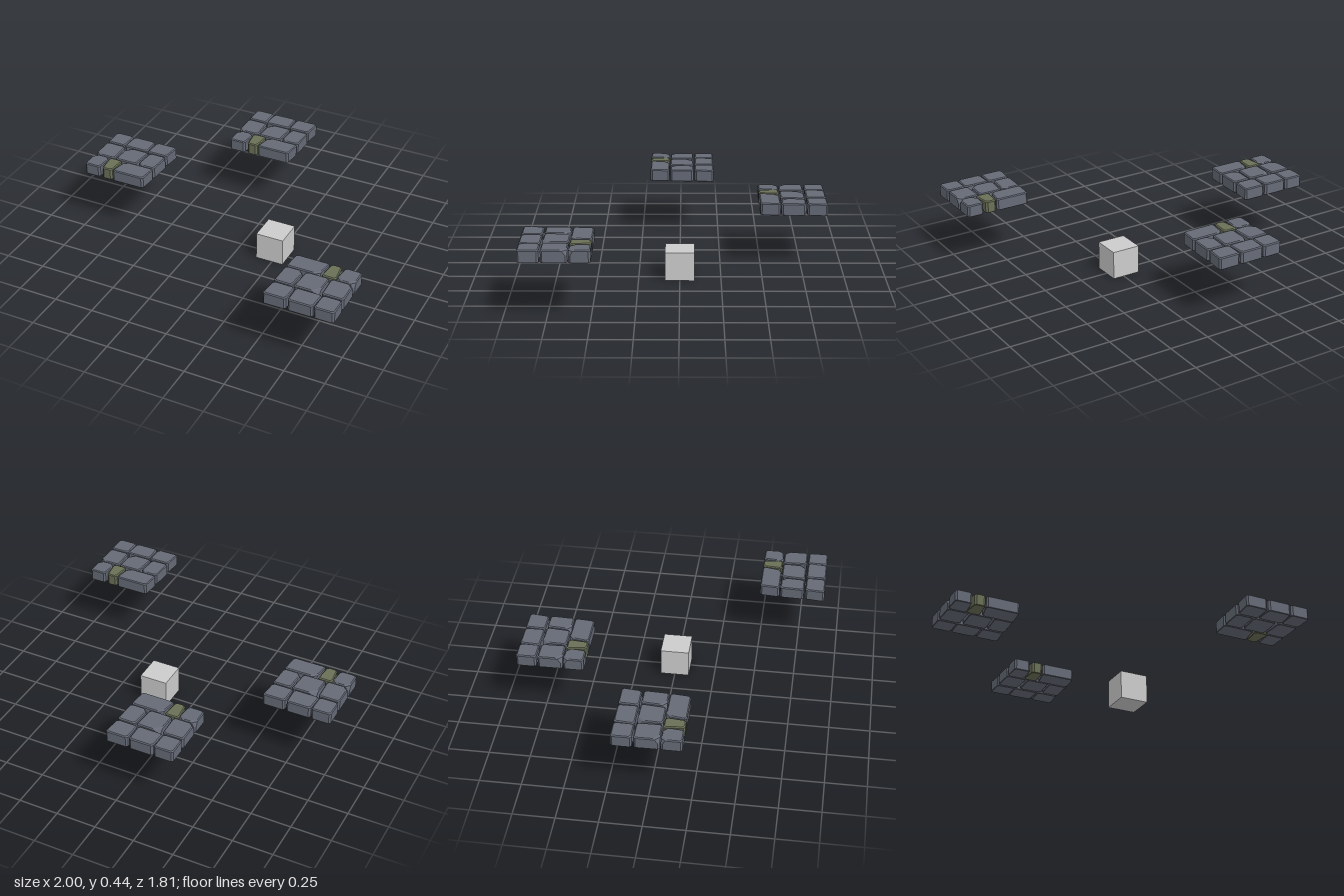
import * as THREE from 'three';
import { ConvexGeometry } from 'three/addons/geometries/ConvexGeometry.js';

const H = 0.076;      // slab thickness
const BEVEL = 0.006;  // edge bevel
const CORNER = 0.011; // plan corner cut

const mat = (name, color) => Object.assign(new THREE.MeshStandardMaterial({ color }), { name });

// Stone outlines per row: z back, z front, then [back x0, back x1, front x0, front x1, chips]
// chips: size of the broken top corner, keyed by 0 back left, 1 back right, 2 front right, 3 front left
const ROWS = [
  { z: [-0.206, -0.083], stones: [
    [-0.217, -0.094, -0.217, -0.096, {}],
    [-0.088, 0.064, -0.096, 0.066, {}],
    [0.075, 0.217, 0.070, 0.205, {}],
  ] },
  { z: [-0.074, 0.077], stones: [
    [-0.217, -0.084, -0.216, -0.080, { 3: 0.035 }],
    [-0.066, 0.086, -0.071, 0.074, { 0: 0.04 }],
    [0.095, 0.209, 0.086, 0.203, { 3: 0.035 }],
  ] },
  { z: [0.082, 0.206], stones: [
    [-0.217, -0.102, -0.217, -0.112, { 0: 0.03, 1: 0.035 }],
    [-0.107, -0.016, -0.093, -0.026, {}, 'moss'],
    [0.000, 0.203, -0.021, 0.193, { 0: 0.028 }],
  ] },
];

// Convex block with cut corners, bevelled rims and optional chipped top corners
function stoneGeometry([bx0, bx1, fx0, fx1, chips], [z0, z1]) {
  const quad = [[bx0, z0], [bx1, z0], [fx1, z1], [fx0, z1]].map(([x, z]) => new THREE.Vector2(x, z));
  const points = [];
  const ring = (y, inset, cutAt) => {
    const q = quad.map((p, i) => new THREE.Vector2(
      p.x + (i === 0 || i === 3 ? inset : -inset), p.y + (i < 2 ? inset : -inset)));
    q.forEach((p, i) => {
      for (const n of [q[(i + 3) % 4], q[(i + 1) % 4]]) {
        const c = p.clone().add(n.clone().sub(p).setLength(cutAt(i)));
        points.push(new THREE.Vector3(c.x, y, c.y));
      }
    });
  };
  const plain = () => CORNER;
  const chipped = (i) => chips[i] ?? CORNER;
  ring(0, BEVEL * 0.5, plain);
  ring(BEVEL * 0.5, 0, plain);
  ring(H * 0.58, 0, plain);
  ring(H - BEVEL, 0, (i) => (chips[i] ? chips[i] * 0.85 : CORNER));
  ring(H, BEVEL, chipped);
  return new ConvexGeometry(points);
}

export function createModel() {
  const model = new THREE.Group();
  model.name = 'floatingPlatforms';
  const stone = mat('slateStone', 0x656a76);
  const moss = mat('mossyStone', 0x6a7057);
  const pale = mat('paleGrey', 0xcccccc);

  const parts = ROWS.flatMap((row) => row.stones.map((s) => ({
    geometry: stoneGeometry(s, row.z), moss: s[5] === 'moss',
  })));

  // Three floating slabs, one turned half way round
  const slabs = [
    ['leftPlatform', -0.783, 0.362, -0.011, 0],
    ['backPlatform', -0.108, 0.342, -0.699, 0],
    ['frontPlatform', 0.783, 0.352, 0.699, Math.PI],
  ];
  for (const [name, x, y, z, turn] of slabs) {
    const slab = new THREE.Group();
    slab.name = name;
    slab.position.set(x, y, z);
    slab.rotation.y = turn;
    for (const p of parts) {
      const mesh = new THREE.Mesh(p.geometry, p.moss ? moss : stone);
      mesh.name = p.moss ? 'mossyPaver' : 'paver';
      slab.add(mesh);
    }
    model.add(slab);
  }

  // Plain cube on the ground
  const cube = new THREE.Mesh(new THREE.BoxGeometry(0.178, 0.178, 0.178), pale);
  cube.name = 'cube';
  cube.position.set(0.232, 0.089, 0);
  model.add(cube);
  return model;
}
